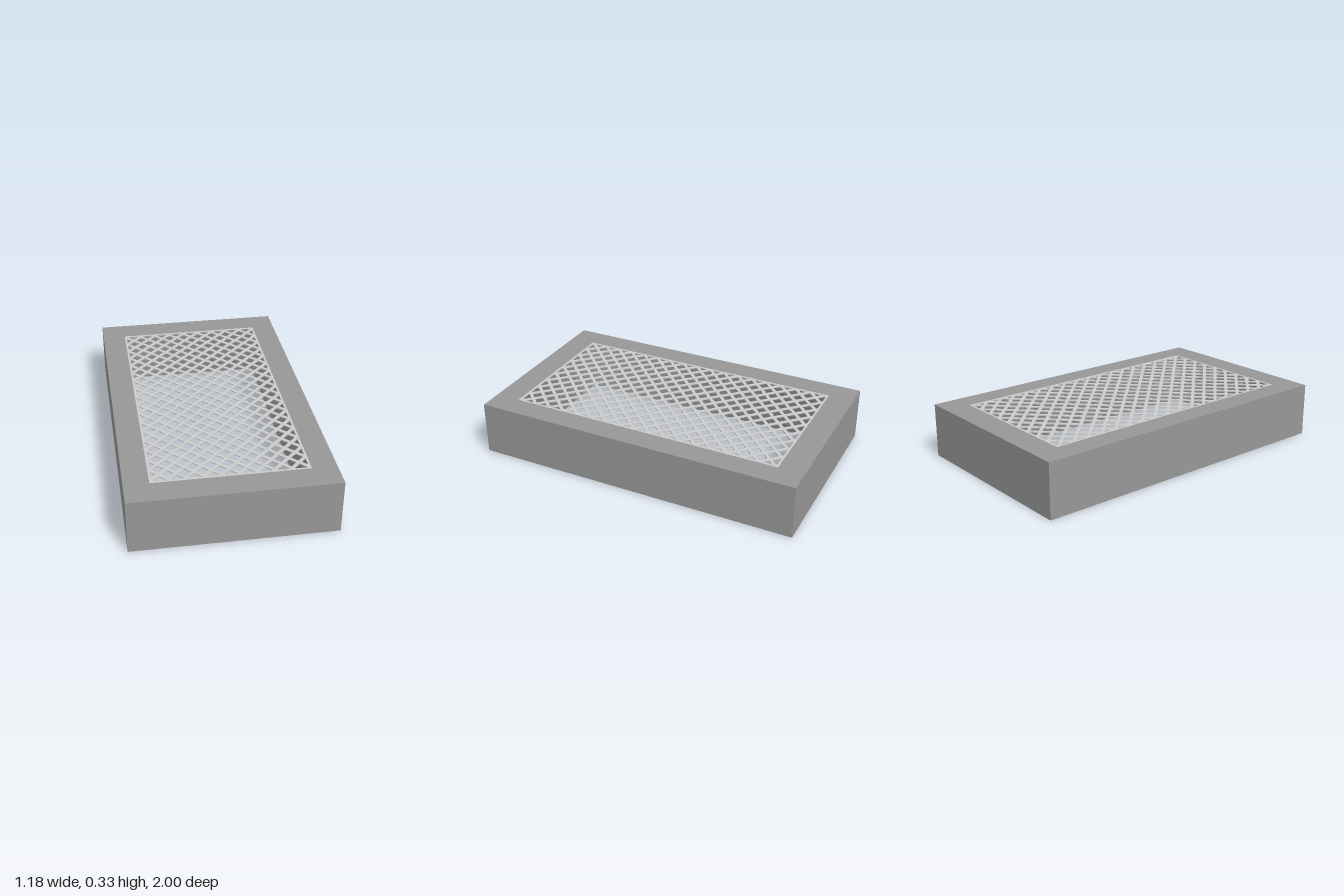
import * as THREE from 'three';

const W = 0.588, D = 1.0, H = 0.327;      // outer half width, half depth, height
const IW = 0.445, ID = 0.845;             // half size of the opening
const PITCH = 0.097, BAR = 0.02, THICK = 0.006, RIM = 0.013;

const frameMaterial = new THREE.MeshStandardMaterial({ color: 0x979797 });
const latticeMaterial = new THREE.MeshStandardMaterial({ color: 0xcccccc });

function rectPoints(w, d) {
  return [[-w, -d], [w, -d], [w, d], [-w, d]].map(([x, y]) => new THREE.Vector2(x, y));
}

// Rectangular ring lying flat, from height y upwards
function ring(name, material, w, d, iw, id, y, height) {
  const shape = new THREE.Shape(rectPoints(w, d));
  shape.holes.push(new THREE.Path(rectPoints(iw, id).reverse()));
  const geo = new THREE.ExtrudeGeometry(shape, { depth: height, bevelEnabled: false });
  geo.rotateX(-Math.PI / 2).translate(0, y, 0);
  const mesh = new THREE.Mesh(geo, material);
  mesh.name = name;
  return mesh;
}

// Blend the inner walls' normals across the four corners of the opening
function smoothInnerWalls(geo) {
  const pos = geo.attributes.position, normal = geo.attributes.normal;
  for (let i = 0; i < pos.count; i++) {
    const x = pos.getX(i), z = pos.getZ(i);
    if (Math.abs(x) > IW + 0.01 || Math.abs(normal.getY(i)) > 0.5) continue;
    normal.setXYZ(i, -Math.sign(x) * Math.SQRT1_2, 0, -Math.sign(z) * Math.SQRT1_2);
  }
}

export function createModel() {
  const model = new THREE.Group();
  model.name = 'latticeTopFrame';

  // Deep, open-ended frame
  const frame = ring('frame', frameMaterial, W, D, IW, ID, 0, H);
  smoothInnerWalls(frame.geometry);
  model.add(frame);

  // Thin lattice flush with the top: narrow rim plus two sets of diagonal bars
  const lattice = new THREE.Group();
  lattice.name = 'lattice';
  const y = H - THICK;
  lattice.add(ring('latticeRim', latticeMaterial, IW, ID, IW - RIM, ID - RIM, y, THICK));

  const cw = IW - 0.009, cd = ID - 0.009;
  const count = Math.floor((cw + cd) / PITCH);
  for (const dir of [1, -1]) {
    for (let k = -count; k <= count; k++) {
      // Bar along z = dir * x + c, clipped to the opening
      const c = k * PITCH;
      const ends = [(-cd - c) * dir, (cd - c) * dir].sort((a, b) => a - b);
      const x0 = Math.max(-cw, ends[0]), x1 = Math.min(cw, ends[1]);
      if (x1 - x0 < 0.01) continue;
      const xm = (x0 + x1) / 2;
      const bar = new THREE.Mesh(
        new THREE.BoxGeometry((x1 - x0) * Math.SQRT2, THICK, BAR), latticeMaterial);
      bar.position.set(xm, y + THICK / 2, dir * xm + c);
      bar.rotation.y = -dir * Math.PI / 4;
      bar.name = 'latticeBar';
      lattice.add(bar);
    }
  }
  model.add(lattice);
  return model;
}
